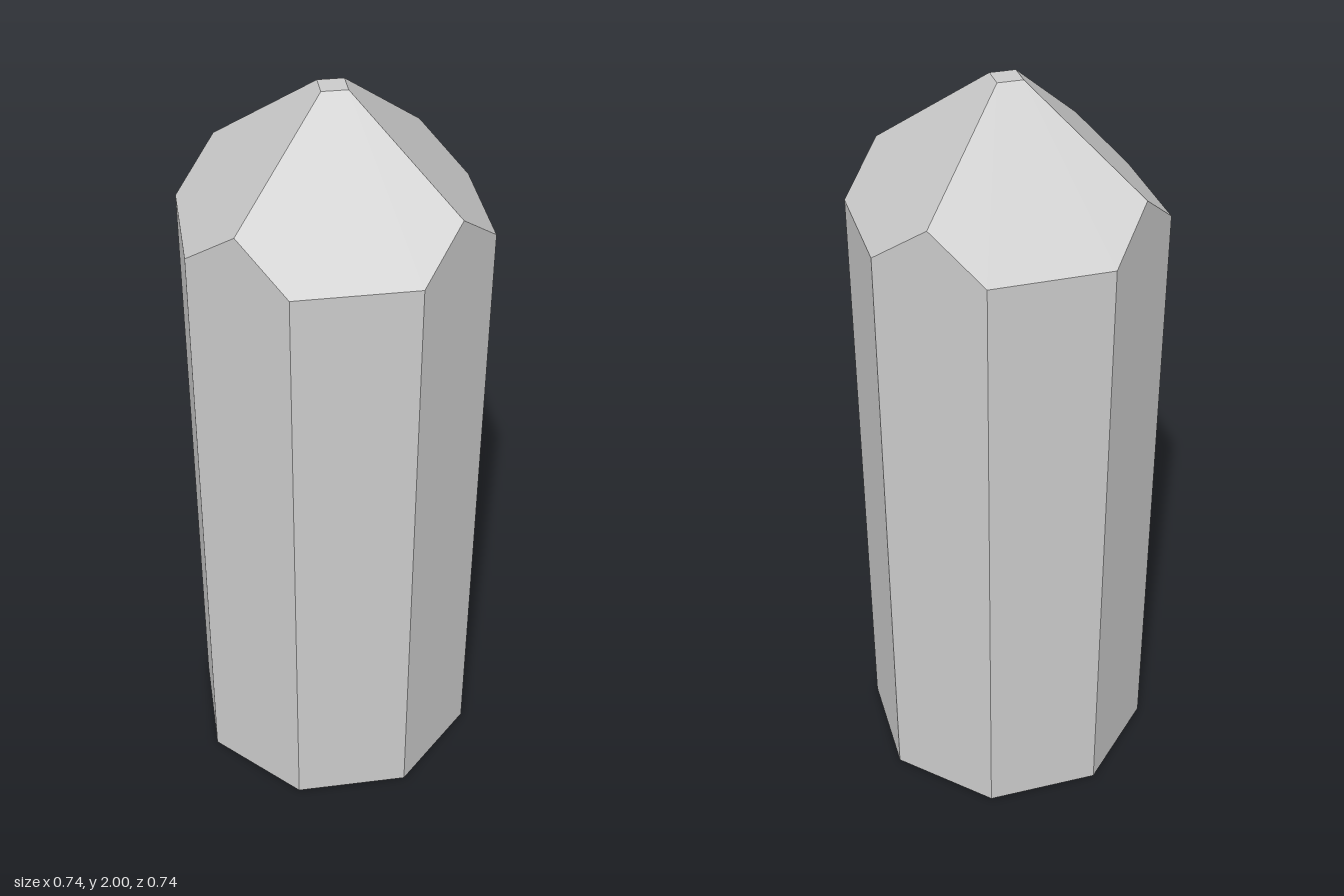
import * as THREE from 'three';

const APOTHEM = 0.369; // centre to flat side
const HALF_EDGE = 0.153; // half the width of a flat side
const TIP = 0.032; // half the width of the small square tip
const HEIGHT = 2;

// Octagon outline with the middle of each diagonal side added, as [x, z]
function outline() {
  const mid = (APOTHEM + HALF_EDGE) / 2;
  const points = [];
  let quadrant = [[HALF_EDGE, APOTHEM], [mid, mid], [APOTHEM, HALF_EDGE]];
  for (let q = 0; q < 4; q++) {
    points.push(...quadrant);
    quadrant = quadrant.map(([x, z]) => [z, -x]);
  }
  return points;
}

function crystalGeometry() {
  const base = outline();
  // The four facets slope at 45 degrees, so the rim rises at the diagonals
  const facetY = (x, z) => HEIGHT + TIP - Math.max(Math.abs(x), Math.abs(z));
  const rings = [
    base.map(() => new THREE.Vector3(0, 0, 0)),
    base.map(([x, z]) => new THREE.Vector3(x, 0, z)),
    base.map(([x, z]) => new THREE.Vector3(x, facetY(x, z), z)),
    base.map(([x, z]) => new THREE.Vector3(Math.sign(x) * TIP, HEIGHT, Math.sign(z) * TIP)),
    base.map(() => new THREE.Vector3(0, HEIGHT, 0)),
  ];

  // Join neighbouring rings, leaving out triangles that collapse
  const corners = [];
  const addTriangle = (a, b, c) => {
    if (new THREE.Triangle(a, b, c).getArea() > 1e-6) corners.push(a, b, c);
  };
  for (let r = 0; r < rings.length - 1; r++) {
    for (let i = 0; i < base.length; i++) {
      const j = (i + 1) % base.length;
      addTriangle(rings[r][i], rings[r][j], rings[r + 1][j]);
      addTriangle(rings[r][i], rings[r + 1][j], rings[r + 1][i]);
    }
  }

  const geometry = new THREE.BufferGeometry().setFromPoints(corners);
  geometry.computeVertexNormals();
  return geometry;
}

export function createModel() {
  const group = new THREE.Group();
  group.name = 'crystal';
  const material = new THREE.MeshStandardMaterial({ color: 0xcccccc, flatShading: true });

  // Eight-sided shaft with a four-facet point
  const crystal = new THREE.Mesh(crystalGeometry(), material);
  crystal.name = 'crystalShaft';
  group.add(crystal);
  return group;
}
